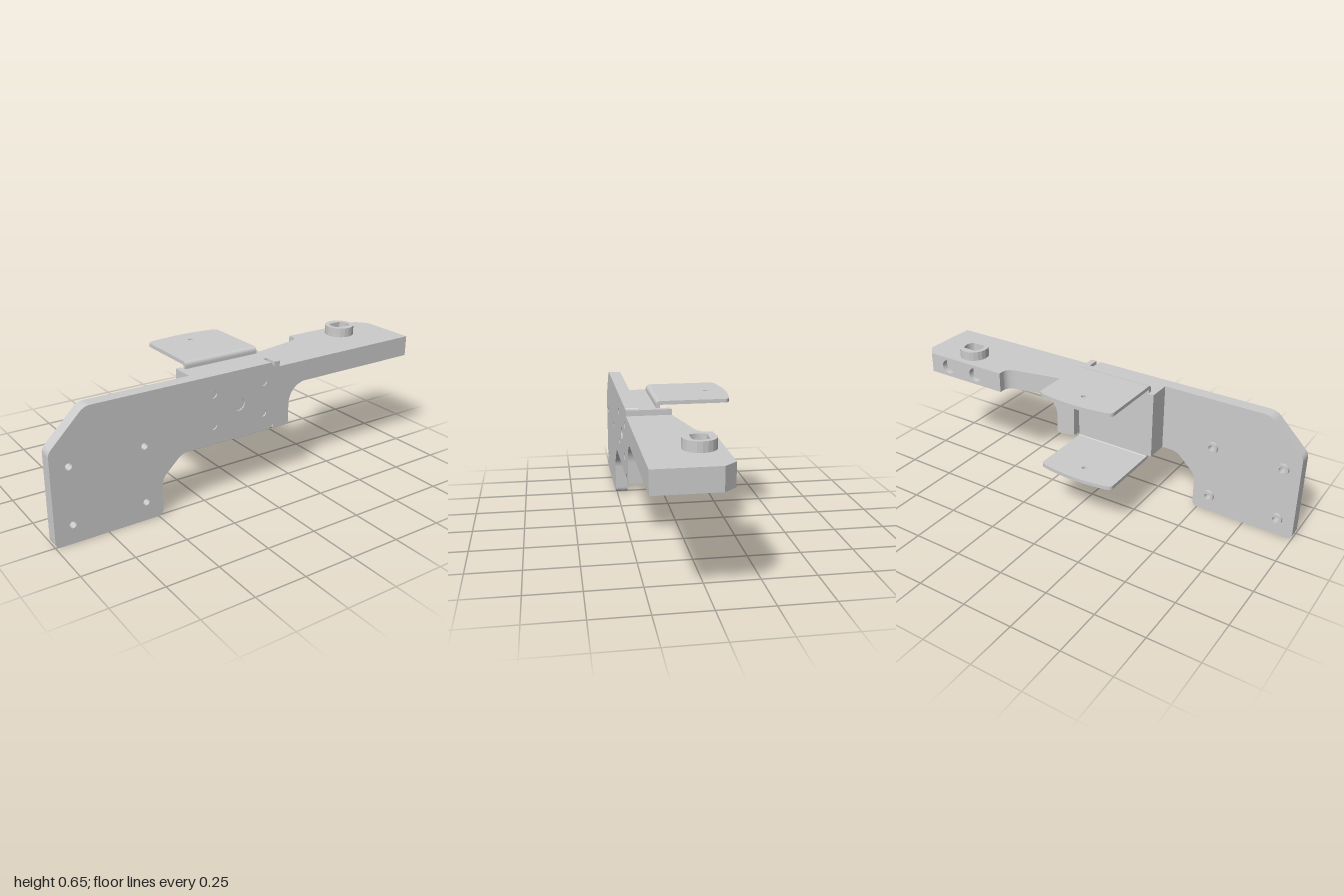
import * as THREE from 'three';

const mat = new THREE.MeshStandardMaterial({ color: 0xcccccc, side: THREE.DoubleSide });

// Closed outline from [x, y, cornerRadius] points
function outline(pts, C = THREE.Shape) {
  const s = new C(), n = pts.length;
  pts.forEach(([x, y, r = 0], i) => {
    const toward = ([px, py]) => {
      const d = Math.hypot(px - x, py - y);
      return [x + (px - x) * r / d, y + (py - y) * r / d];
    };
    const a = toward(pts[(i + n - 1) % n]), b = toward(pts[(i + 1) % n]);
    if (i) s.lineTo(...a); else s.moveTo(...a);
    if (r) s.quadraticCurveTo(x, y, ...b);
  });
  s.closePath();
  return s;
}

function disc(x, y, r, C = THREE.Path) {
  return new C().absarc(x, y, r, 0, Math.PI * 2, false);
}

// Round opening with two flat sides
function flatSidedHole(x, y, r, flat) {
  const p = new THREE.Path(), a = Math.asin(flat / r);
  p.absarc(x, y, r, -a, a, false);
  p.absarc(x, y, r, Math.PI - a, Math.PI + a, false);
  p.closePath();
  return p;
}

function slab(shape, depth, holes = []) {
  shape.holes.push(...holes);
  return new THREE.ExtrudeGeometry(shape, { depth, bevelEnabled: false, curveSegments: 10 });
}

// Front outline between two z values
const frontSlab = (shape, z0, z1, holes) => slab(shape, z1 - z0, holes).translate(0, 0, z0);
// Plan outline (x, -z) between two y values
const planSlab = (shape, y0, y1, holes) =>
  slab(shape, y1 - y0, holes).rotateX(-Math.PI / 2).translate(0, y0, 0);

export function createModel() {
  const model = new THREE.Group();
  const add = (name, geo) => {
    const m = new THREE.Mesh(geo, mat);
    m.name = name;
    model.add(m);
    return m;
  };
  const front = 0.257, plateBack = 0.193, web = 0.112, top = 0.615, base = 0.28;
  const corners = [[-0.915, 0.365], [-0.56, 0.365], [-0.915, 0.09], [-0.56, 0.09]];
  const screws = [[-0.2, 0.525, 0.017], [0.08, 0.525, 0.017], [-0.2, 0.37, 0.017],
    [0.08, 0.37, 0.017], [-0.06, 0.448, 0.032]];
  const screwHoles = () => screws.map(([x, y, r]) => disc(x, y, r));

  // Mounting plate with small corner reliefs beside the leg
  add('mountingPlate', frontSlab(outline([
    [-1, 0, 0.03], [-0.475, 0, 0.03], [-0.475, 0.18, 0.03], [-0.37, base, 0.03],
    [0.12, base], [0.14, 0.305], [0.14, 0.59], [0.12, top],
    [-0.83, top, 0.03], [-1, 0.445, 0.02],
  ]), plateBack, front, [...corners.map(([x, y]) => disc(x, y, 0.016)), ...screwHoles()]));

  // Raised bushings behind the plate's corner holes
  for (const [x, y] of corners)
    add('plateBushing', frontSlab(disc(x, y, 0.029, THREE.Shape), 0.177, plateBack, [disc(x, y, 0.016)]));

  // Thick block and locating rib behind the plate
  const rect = (x0, y0, x1, y1) => outline([[x0, y0], [x1, y0], [x1, y1], [x0, y1]]);
  add('bracketBlock', frontSlab(rect(-0.26, base, 0.14, top), web, plateBack, screwHoles()));
  add('locatingRib', frontSlab(rect(-0.29, base, -0.26, top), 0.08, plateBack));

  // Screws and centre pin, sunk just below the surfaces
  screws.forEach(([x, y, r], i) =>
    add(i < 4 ? 'bracketScrew' : 'centrePin', frontSlab(disc(x, y, r, THREE.Shape), 0.1, 0.25)));

  // U bracket: web with bent edges, then two flanges
  const yMid = 0.4465, h = 0.2015, t = 0.018;
  const bends = outline([
    [-0.08, -h], [-web, -h, 0.022], [-web, h, 0.022], [-0.08, h],
    [-0.08, h - t], [-web + t, h - t, 0.006], [-web + t, -h + t, 0.006], [-0.08, -h + t],
  ]);
  // Turn the profile so that it runs along x
  add('bracketBends', slab(bends, 0.397).rotateY(Math.PI / 2).translate(-0.257, yMid, 0));
  for (const y of [yMid + h - t, yMid - h]) {
    const s = new THREE.Shape();
    s.moveTo(-0.257, -0.08);
    s.lineTo(0.14, -0.08);
    s.lineTo(0.14, 0.215);
    s.quadraticCurveTo(0.14, 0.236, 0.11, 0.241);
    s.quadraticCurveTo(-0.0585, 0.273, -0.227, 0.241);
    s.quadraticCurveTo(-0.257, 0.236, -0.257, 0.215);
    s.closePath();
    add('bracketFlange', planSlab(s, y, y + t, [disc(-0.0585, 0.16, 0.012)]));
  }

  // Leg with a concave fillet; its back is slanted to follow the arm
  const slant = x => 0.03 - 0.2 * (x - 0.23);
  const armLow = 0.485, armTop = 0.588;
  const leg = new THREE.Shape();
  leg.moveTo(0.14, base);
  leg.lineTo(0.23, base);
  leg.lineTo(0.23, 0.385);
  leg.absarc(0.33, 0.385, 0.1, Math.PI, Math.PI / 2, true);
  leg.lineTo(0.17, armLow);
  leg.lineTo(0.17, top);
  leg.lineTo(0.14, top);
  leg.closePath();
  const legGeo = frontSlab(leg, 0, front);
  const lp = legGeo.attributes.position;
  for (let i = 0; i < lp.count; i++) if (lp.getZ(i) < 0.1) lp.setZ(i, slant(lp.getX(i)));
  legGeo.computeVertexNormals();
  add('leg', legGeo);

  // Arm in two layers: a round recess below, a flat-sided opening above
  const bx = 0.745, bz = 0.02, split = 0.515, strip = -0.055;
  const armPlan = () => {
    const s = new THREE.Shape();
    s.moveTo(0.17, -front);
    s.lineTo(1, -front);
    s.lineTo(1, 0.03);
    s.lineTo(0.977, -strip);
    s.lineTo(0.497, -strip);
    s.quadraticCurveTo(0.492, 0.022, 0.44, -slant(0.44));
    s.lineTo(0.17, -slant(0.17));
    s.closePath();
    return s;
  };
  const opening = () => flatSidedHole(bx, -bz, 0.05, 0.037);
  add('armLower', planSlab(armPlan(), armLow, split, [disc(bx, -bz, 0.074)]));
  add('armUpper', planSlab(armPlan(), split, armTop, [opening()]));
  add('armBoss', planSlab(disc(bx, -bz, 0.074, THREE.Shape), armTop, 0.635, [opening()]));

  // Rear strip of the arm with two cross holes and a chamfered end
  const rear = frontSlab(rect(0.497, armLow, 0.977, armTop), -0.085, strip,
    [0.66, 0.84].map(x => disc(x, (armLow + armTop) / 2, 0.037)));
  const rp = rear.attributes.position;
  for (let i = 0; i < rp.count; i++)
    if (rp.getX(i) > 0.97 && rp.getZ(i) < -0.07) rp.setX(i, 0.95);
  rear.computeVertexNormals();
  add('armRear', rear);

  return model;
}
